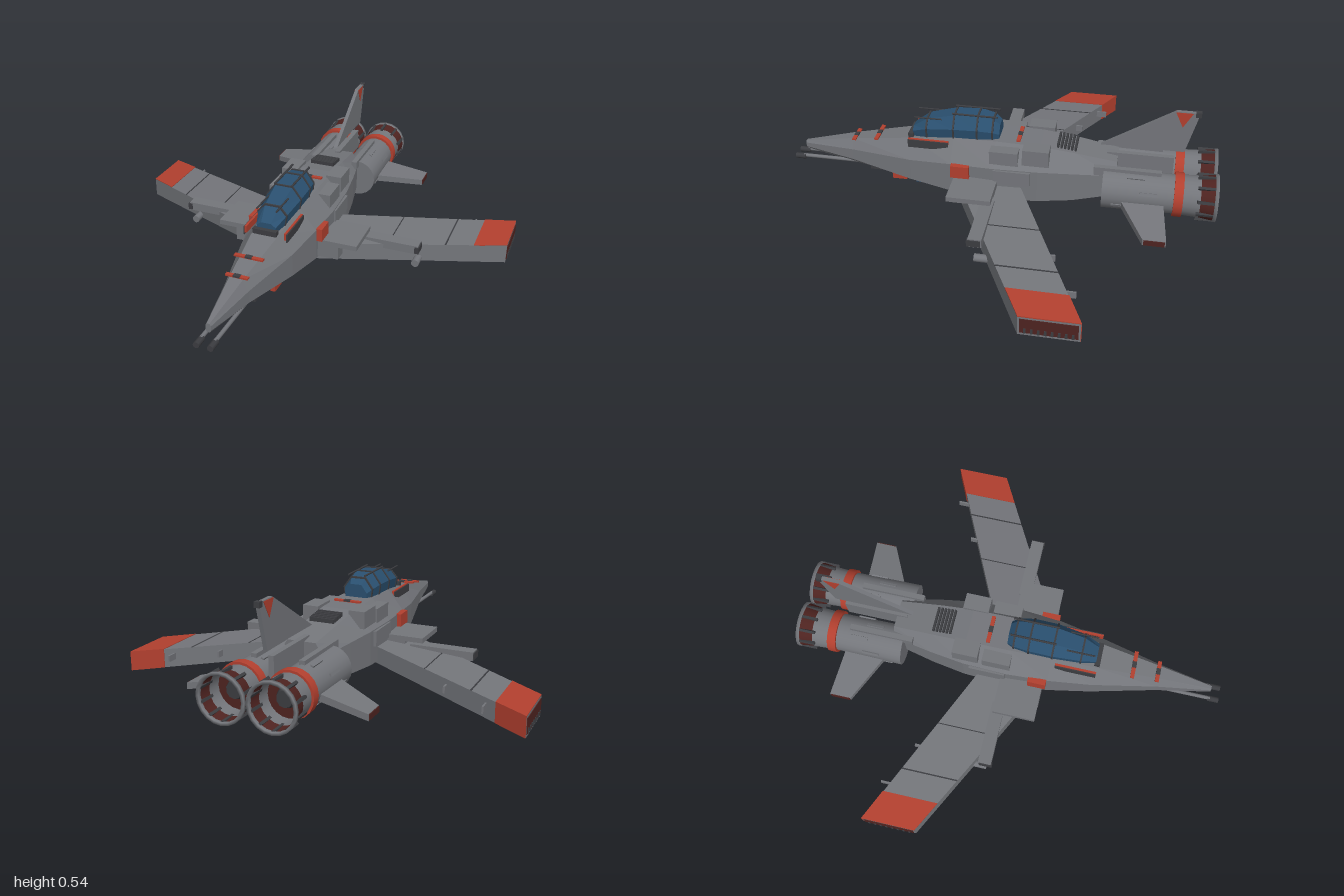
import * as THREE from 'three';

const mat = (name, color) => {
  const m = new THREE.MeshStandardMaterial({ color });
  m.name = name;
  return m;
};

export function createModel() {
  const model = new THREE.Group();
  model.name = 'starfighter';
  const grey = mat('hull grey', 0x74767b);
  const dark = mat('dark grey', 0x3c3d41);
  const red = mat('marking red', 0xb3402f);
  const maroon = mat('dark maroon', 0x4e2320);
  const blue = mat('canopy blue', 0x2a5070);
  maroon.side = THREE.DoubleSide;

  const add = (name, geo, m, parent = model) => {
    const mesh = new THREE.Mesh(geo, m);
    mesh.name = name;
    parent.add(mesh);
    return mesh;
  };

  // Faceted solid through matching cross-sections, capped at both ends
  const loft = (sections) => {
    const tris = [], n = sections[0].length, last = sections.length - 1;
    for (let i = 0; i < last; i++) for (let j = 0; j < n; j++) {
      const k = (j + 1) % n, a = sections[i], b = sections[i + 1];
      tris.push([a[j], a[k], b[k]], [a[j], b[k], b[j]]);
    }
    for (let j = 1; j < n - 1; j++) {
      const a = sections[0], b = sections[last];
      tris.push([a[0], a[j + 1], a[j]], [b[0], b[j], b[j + 1]]);
    }
    // Turn every face outward using the signed volume
    const v = (p) => new THREE.Vector3(...p);
    const volume = tris.reduce((s, [a, b, c]) => s + v(a).dot(v(b).cross(v(c))), 0);
    const pos = tris.flatMap(([a, b, c]) => (volume < 0 ? [a, c, b] : [a, b, c])).flat();
    const g = new THREE.BufferGeometry();
    g.setAttribute('position', new THREE.Float32BufferAttribute(pos, 3));
    g.computeVertexNormals();
    return g;
  };

  // Box from its limits on each axis
  const box = (name, m, x0, x1, y0, y1, z0, z1, parent) => {
    const g = new THREE.BoxGeometry(Math.abs(x1 - x0), y1 - y0, z1 - z0);
    g.translate((x0 + x1) / 2, (y0 + y1) / 2, (z0 + z1) / 2);
    return add(name, g, m, parent);
  };
  // Cylinder along z, from zBack (radius rb) to zFront (radius rf)
  const tube = (name, m, x, y, zBack, zFront, rb, rf = rb, sides = 12, open = false) => {
    const g = new THREE.CylinderGeometry(rf, rb, zFront - zBack, sides, 1, open).toNonIndexed();
    g.rotateX(Math.PI / 2).translate(x, y, (zBack + zFront) / 2);
    return add(name, g, m);
  };

  // Fuselage: z, half width, top half width, top, upper edge, lower edge, bottom half width, bottom
  const hull = [
    [0.95, 0.012, 0.006, 0.2, 0.19, 0.17, 0.006, 0.16],
    [0.7, 0.055, 0.03, 0.253, 0.205, 0.15, 0.028, 0.12],
    [0.4, 0.12, 0.06, 0.305, 0.22, 0.115, 0.05, 0.08],
    [0.2, 0.152, 0.075, 0.335, 0.24, 0.095, 0.06, 0.05],
    [0, 0.165, 0.08, 0.34, 0.245, 0.085, 0.06, 0.03],
    [-0.2, 0.158, 0.08, 0.335, 0.245, 0.09, 0.06, 0.05],
    [-0.36, 0.135, 0.075, 0.315, 0.24, 0.1, 0.055, 0.075],
    [-0.55, 0.1, 0.065, 0.285, 0.23, 0.13, 0.05, 0.11],
  ];
  add('fuselage', loft(hull.map(([z, w, tx, top, yu, yl, bx, bot]) => [
    [-tx, top, z], [tx, top, z], [w, yu, z], [w, yl, z],
    [bx, bot, z], [-bx, bot, z], [-w, yl, z], [-w, yu, z],
  ])), grey);

  // Canopy glass and its frames
  const glass = [[0.4, 0.045, 0.35], [0.33, 0.066, 0.4], [0.2, 0.08, 0.433], [0.09, 0.08, 0.44], [0.02, 0.07, 0.425], [-0.01, 0.055, 0.4]];
  const hoop = (z, w, top) => {
    const mid = 0.315 + (top - 0.315) * 0.55;
    return [[-w * 0.85, 0.3, z], [-w, mid, z], [-w * 0.5, top, z], [w * 0.5, top, z], [w, mid, z], [w * 0.85, 0.3, z]];
  };
  add('canopy', loft(glass.map((s) => hoop(...s))), blue);
  for (const [z, w, top] of glass.slice(1, 5)) {
    add('canopyFrame', loft([hoop(z - 0.004, w + 0.004, top + 0.005), hoop(z + 0.004, w + 0.004, top + 0.005)]), dark);
  }
  box('canopySill', dark, -0.055, 0.055, 0.295, 0.325, 0.395, 0.42);
  box('bellyGlass', blue, -0.035, 0.035, 0.045, 0.08, 0.28, 0.4);

  // Nose and spine bands
  for (const [z, w, y] of [[0.69, 0.05, 0.254], [0.575, 0.065, 0.277], [0.1 - 0.2, 0.065, 0.34]]) {
    box('redBand', red, -w, w, y, y + 0.008, z - 0.009, z + 0.009);
    box('bandCentre', dark, -0.015, 0.015, y + 0.002, y + 0.01, z - 0.01, z + 0.01);
  }
  // Spine grille
  for (let i = 0; i < 6; i++) {
    const z = -0.28 - i * 0.016;
    box('grilleBar', dark, -0.058, 0.058, 0.315, 0.343 - i * 0.002, z - 0.005, z + 0.005);
  }

  // Tail fin with its marking and lamp
  const fin = new THREE.Shape([[0.47, 0.335], [0.84, 0.335], [0.89, 0.535], [0.79, 0.535]].map((p) => new THREE.Vector2(...p)));
  const mark = new THREE.Shape([[0.785, 0.532], [0.82, 0.46], [0.86, 0.532]].map((p) => new THREE.Vector2(...p)));
  const upright = (shape, depth) => new THREE.ExtrudeGeometry(shape, { depth, bevelEnabled: false })
    .translate(0, 0, -depth / 2).rotateY(Math.PI / 2);
  add('tailFin', upright(fin, 0.018), grey);
  add('finMarking', upright(mark, 0.022), red);
  box('finLamp', dark, -0.012, 0.012, 0.515, 0.538, -0.895, -0.87);
  box('finMount', grey, -0.012, 0.012, 0.2, 0.3, -0.8, -0.5);

  // Wing outline at a given span
  const span = (x) => {
    const t = (x - 0.14) / 0.79;
    return { f: 0.175 - 0.417 * t, b: -0.12 - 0.368 * t, top: 0.158 - 0.068 * t, bot: 0.08 - 0.08 * t };
  };
  const wingCut = (s, x) => {
    const w = span(x);
    return [[s * x, w.top, w.f], [s * x, w.top, w.b], [s * x, w.bot, w.b], [s * x, w.bot, w.f]];
  };
  // Thin plate lying on the wing top between two spans
  const topPlate = (s, x0, x1, h) => loft([x0, x1].map((x) => {
    const w = span(x);
    return [[s * x, w.top + h, w.f], [s * x, w.top + h, w.b], [s * x, w.top - 0.002, w.b], [s * x, w.top - 0.002, w.f]];
  }));

  for (const s of [1, -1]) {
    const both = (name, m, x0, x1, y0, y1, z0, z1) => box(name, m, s * x0, s * x1, y0, y1, z0, z1);

    // Main wing with painted tip
    add('wing', loft([wingCut(s, 0.1), wingCut(s, 0.93)]), grey);
    add('wingTipTop', topPlate(s, 0.79, 0.93, 0.003), red);
    add('wingTipRear', loft([0.79, 0.93].map((x) => {
      const w = span(x);
      return [[s * x, w.top + 0.003, w.b + 0.002], [s * x, w.top + 0.003, w.b - 0.003],
        [s * x, w.bot, w.b - 0.003], [s * x, w.bot, w.b + 0.002]];
    })), red);
    both('wingTipEnd', maroon, 0.929, 0.933, 0.012, 0.08, -0.48, -0.25);
    for (let i = 0; i < 8; i++) both('wingTipVent', dark, 0.93, 0.936, 0.012, 0.035, -0.465 + i * 0.027, -0.455 + i * 0.027);
    add('wingPanelLine', topPlate(s, 0.668, 0.674, 0.002), dark);
    add('wingPanelLine', topPlate(s, 0.43, 0.434, 0.002), dark);
    both('wingSpike', grey, 0.741, 0.749, 0.055, 0.085, -0.45, -0.38);
    both('wingSpike', grey, 0.543, 0.552, 0.07, 0.1, -0.34, -0.28);
    tube('wingPod', grey, s * 0.56, 0.05, -0.16, 0.005, 0.018);

    // Wing root slabs
    both('wingRootSlab', grey, 0.13, 0.335, 0.162, 0.185, -0.02, 0.18);
    both('wingRootBlock', grey, 0.13, 0.25, 0.1, 0.165, -0.02, 0.18);
    both('wingSlat', grey, 0.28, 0.575, 0.115, 0.155, -0.03, 0.03);
    both('slatEnd', dark, 0.56, 0.58, 0.12, 0.15, -0.025, 0.035);

    // Fuselage side and deck panels
    both('sideIntake', grey, 0.12, 0.172, 0.17, 0.24, -0.17, 0);
    both('sideBadge', red, 0.15, 0.178, 0.185, 0.245, 0.11, 0.195);
    both('deckPad', grey, 0.075, 0.15, 0.27, 0.347, -0.25, -0.13);
    both('deckPad', grey, 0.085, 0.15, 0.26, 0.325, -0.11, 0.02);
    both('canopyRail', red, 0.087, 0.097, 0.29, 0.322, 0.22, 0.41);
    both('railShadow', dark, 0.097, 0.102, 0.28, 0.318, 0.22, 0.41);
    both('chinLamp', red, 0.06, 0.082, 0.085, 0.115, 0.43, 0.5);
    tube('canopyTopRail', dark, s * 0.04, 0.441, 0, 0.21, 0.005, 0.005, 6);
    tube('canopyFrontRail', dark, s * 0.045, 0.408, 0.26, 0.39, 0.004, 0.004, 6);

    // Nose cannon
    tube('cannonBarrel', grey, s * 0.03, 0.13, 0.5, 0.96, 0.009, 0.009, 8);
    tube('cannonMuzzle', dark, s * 0.03, 0.125, 0.95, 1, 0.014, 0.014, 8);
    both('cannonMount', dark, 0.015, 0.045, 0.1, 0.15, 0.45, 0.62);

    // Engine: body, ring, nozzle
    const ex = s * 0.11, ey = 0.175;
    tube('engineBody', grey, ex, ey, -0.81, -0.495, 0.088, 0.092, 20);
    tube('engineRing', red, ex, ey, -0.85, -0.81, 0.1, 0.1, 20);
    const nozzle = new THREE.LatheGeometry([[0.09, 0.85], [0.094, 0.925]].map((p) => new THREE.Vector2(...p)), 20);
    add('nozzleCollar', nozzle.rotateX(-Math.PI / 2).translate(ex, ey, 0), grey).material.side = THREE.DoubleSide;
    tube('nozzleFlare', maroon, ex, ey, -0.985, -0.925, 0.102, 0.094, 20, true);
    const rim = new THREE.LatheGeometry([[0.094, 0.985], [0.107, 0.985], [0.107, 1], [0.094, 1], [0.094, 0.985]]
      .map((p) => new THREE.Vector2(...p)), 20).toNonIndexed();
    add('nozzleRim', rim.rotateX(-Math.PI / 2).translate(ex, ey, 0), grey);
    tube('burner', maroon, ex, ey, -0.87, -0.855, 0.088, 0.088, 20);
    tube('burnerCore', dark, ex, ey, -0.9, -0.86, 0.035, 0.05, 10);
    for (let i = 0; i < 10; i++) {
      const rib = new THREE.BoxGeometry(0.012, 0.014, 0.08).translate(0, 0.099, -0.95);
      add('nozzleRib', rib.rotateZ((i / 10) * Math.PI * 2).translate(ex, ey, 0), dark);
    }
    for (let i = 0; i < 8; i++) {
      const strip = new THREE.BoxGeometry(0.014, 0.008, 0.08).translate(0, 0.091, -0.7 + (i % 3) * 0.06);
      add('engineStrip', strip.rotateZ((i / 8) * Math.PI * 2 + 0.4).translate(ex, ey, 0), grey);
    }
    both('engineSpar', grey, 0.095, 0.12, 0.24, 0.28, -0.75, -0.45);

    // Rear stabiliser with dark tip
    const tail = (x, f, b, y, h) => [[s * x, y + h, f], [s * x, y + h, b], [s * x, y - h, b], [s * x, y - h, f]];
    add('stabiliser', loft([tail(0.15, -0.56, -0.765, 0.155, 0.016), tail(0.405, -0.69, -0.79, 0.11, 0.014)]), grey);
    both('stabiliserTip', maroon, 0.403, 0.409, 0.098, 0.122, -0.785, -0.695);
  }
  return model;
}
